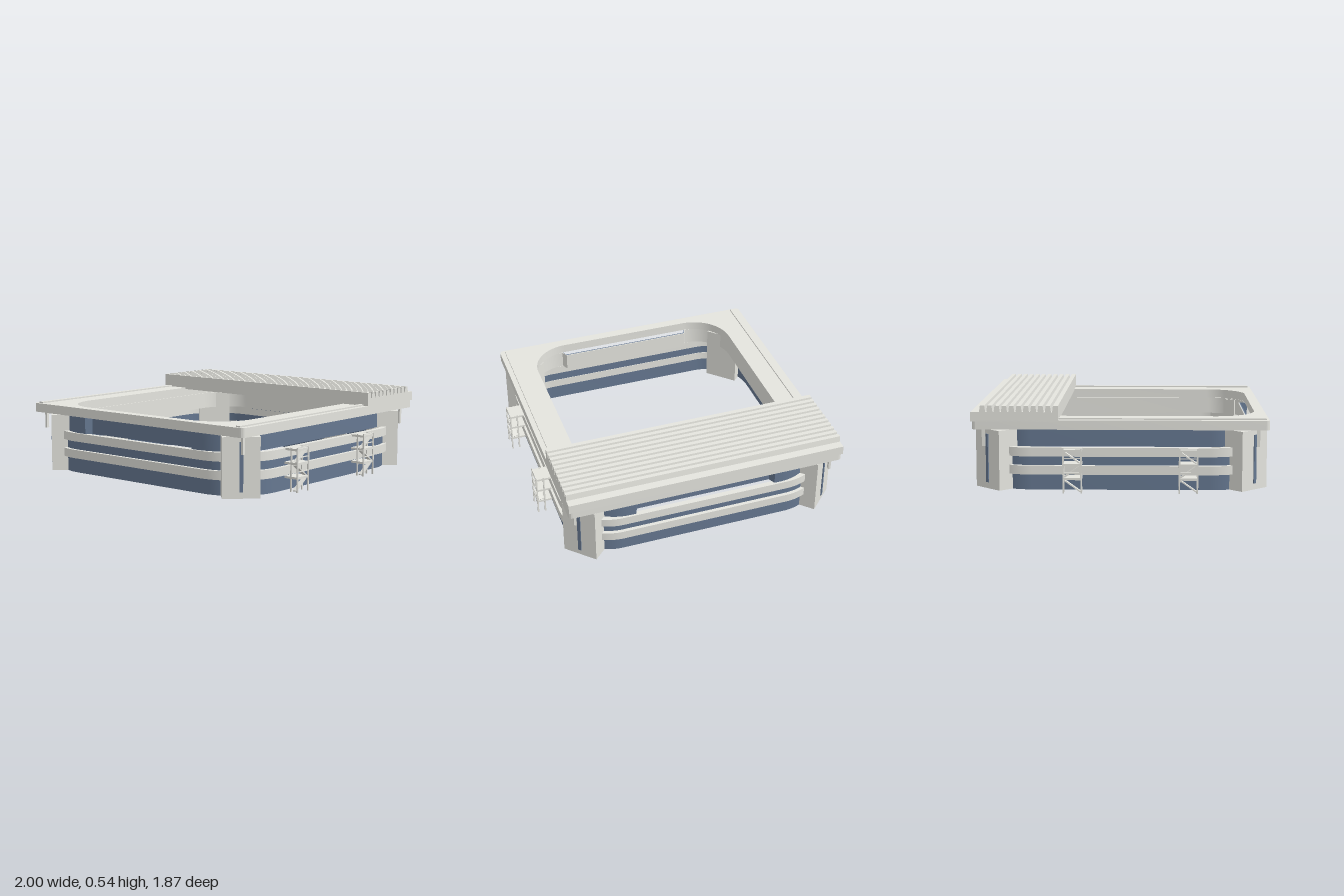
import * as THREE from 'three';
import { toCreasedNormals } from 'three/addons/utils/BufferGeometryUtils.js';

const concrete = new THREE.MeshStandardMaterial({ color: 0xe4e4de });
concrete.name = 'pale concrete';
const glass = new THREE.MeshStandardMaterial({ color: 0x667891 });
glass.name = 'blue glass';

function part(parent, name, geometry, material, x = 0, y = 0, z = 0) {
  const mesh = new THREE.Mesh(geometry, material);
  mesh.name = name;
  mesh.position.set(x, y, z);
  parent.add(mesh);
  return mesh;
}

const box = (parent, name, w, h, d, x, y, z, material = concrete) =>
  part(parent, name, new THREE.BoxGeometry(w, h, d), material, x, y, z);

// Trace a rounded rectangle of half sizes hx, hz; the two ends can step in to z = inset
function roundedRect(path, hx, hz, r, inset = hz) {
  const step = (s) => {
    path.lineTo(s * 0.475, s * hz);
    path.lineTo(s * 0.455, s * inset);
    path.lineTo(-s * 0.455, s * inset);
    path.lineTo(-s * 0.475, s * hz);
  };
  path.moveTo(hx, -hz + r);
  path.lineTo(hx, hz - r);
  path.absarc(hx - r, hz - r, r, 0, Math.PI / 2);
  if (inset < hz) step(1);
  path.absarc(-hx + r, hz - r, r, Math.PI / 2, Math.PI);
  path.absarc(-hx + r, -hz + r, r, Math.PI, Math.PI * 1.5);
  if (inset < hz) step(-1);
  path.absarc(hx - r, -hz + r, r, Math.PI * 1.5, Math.PI * 2);
  path.closePath();
  return path;
}

// Horizontal ring between two rounded rectangles, from y0 to y1
function ring(parent, name, outer, inner, y0, y1, material) {
  const shape = roundedRect(new THREE.Shape(), ...outer);
  shape.holes.push(roundedRect(new THREE.Path(), ...inner));
  const geometry = new THREE.ExtrudeGeometry(shape, { depth: y1 - y0, bevelEnabled: false, curveSegments: 14 });
  geometry.rotateX(-Math.PI / 2);
  return part(parent, name, toCreasedNormals(geometry, 0.6), material, 0, y0, 0);
}

// Ribbed roof over the rear stand
function ribbedRoof(parent) {
  const ribs = 11, start = 0.39, pitch = 0.0457;
  const profile = new THREE.Shape();
  profile.moveTo(start, 0.44);
  for (let i = 0; i < ribs; i++) {
    const a = start + i * pitch;
    profile.lineTo(i ? a + 0.004 : a, 0.54);
    profile.lineTo(a + 0.031, 0.54);
    profile.lineTo(a + 0.037, 0.5);
    profile.lineTo(a + pitch - 0.002, 0.5);
  }
  profile.lineTo(0.94, 0.5);
  profile.lineTo(0.94, 0.44);
  profile.closePath();
  const geometry = new THREE.ExtrudeGeometry(profile, { depth: 1.85, bevelEnabled: false });
  geometry.rotateY(Math.PI / 2);
  part(parent, 'ribbedRoof', geometry, concrete, -0.925, 0, 0);
}

// Diagonal corner tower with a narrow window
function cornerTower(parent, sx, sz) {
  const tower = new THREE.Group();
  tower.name = 'cornerTower';
  tower.position.set(sx * 0.8425, 0, sz * 0.845);
  tower.rotation.y = Math.atan2(sx, sz);
  box(tower, 'towerBlock', 0.235, 0.38, 0.178, 0, 0.19, -0.089);
  box(tower, 'towerWindow', 0.022, 0.31, 0.008, 0, 0.195, 0.002, glass);
  parent.add(tower);
  box(parent, 'hangingPost', 0.016, 0.115, 0.02, sx * 0.872, 0.335, sz * 0.865);
}

// Open stair scaffold on the side of the building
function stairTower(parent, sx, z) {
  const stair = new THREE.Group();
  stair.name = 'stairTower';
  stair.position.z = z;
  for (const dz of [-0.056, 0.056])
    for (const x of [0.945, 0.993])
      box(stair, 'stairPost', 0.009, 0.28, 0.009, sx * x, 0.14, dz);
  // Flights alternate direction between the landings
  [0.09, 0.18, 0.268].forEach((y, i) => {
    box(stair, 'landing', 0.1, 0.014, 0.12, sx * 0.945, y, 0);
    const flight = box(stair, 'stairFlight', 0.03, 0.008, 0.125, sx * 0.969, y - 0.046, 0);
    flight.rotation.x = i % 2 ? -0.62 : 0.62;
    box(stair, 'handrail', 0.006, 0.006, 0.12, sx * 0.994, y + (i < 2 ? 0.04 : 0.014), 0);
  });
  parent.add(stair);
}

export function createModel() {
  const model = new THREE.Group();
  model.name = 'stadium';

  // Thin glazed walls with projecting concrete balconies
  ring(model, 'lowerGlazing', [0.876, 0.876, 0.316], [0.867, 0.867, 0.307], 0, 0.24, glass);
  for (const [y0, y1] of [[0.1, 0.157], [0.215, 0.272]])
    ring(model, 'balconyBand', [0.9, 0.9, 0.34], [0.864, 0.864, 0.304], y0, y1, concrete);

  // Upper wall, glazed outside and concrete inside, stepping in at both ends
  ring(model, 'upperGlazing', [0.835, 0.885, 0.32, 0.837], [0.828, 0.877, 0.312, 0.829], 0.27, 0.385, glass);
  ring(model, 'innerFascia', [0.827, 0.876, 0.31, 0.828], [0.735, 0.866, 0.25, 0.822], 0.272, 0.386, concrete);

  // Flat roof frame around the opening
  ring(model, 'roofFrame', [0.925, 0.932, 0.025], [0.722, 0.865, 0.265], 0.39, 0.45, concrete);
  ribbedRoof(model);

  for (const sx of [-1, 1]) {
    // Low rails running along the roof
    box(model, 'roofRail', 0.032, 0.01, 1.32, sx * 0.874, 0.454, 0.255);
    for (const sz of [-1, 1]) cornerTower(model, sx, sz);
    for (const z of [-0.3, 0.425]) stairTower(model, sx, z);
  }
  return model;
}
